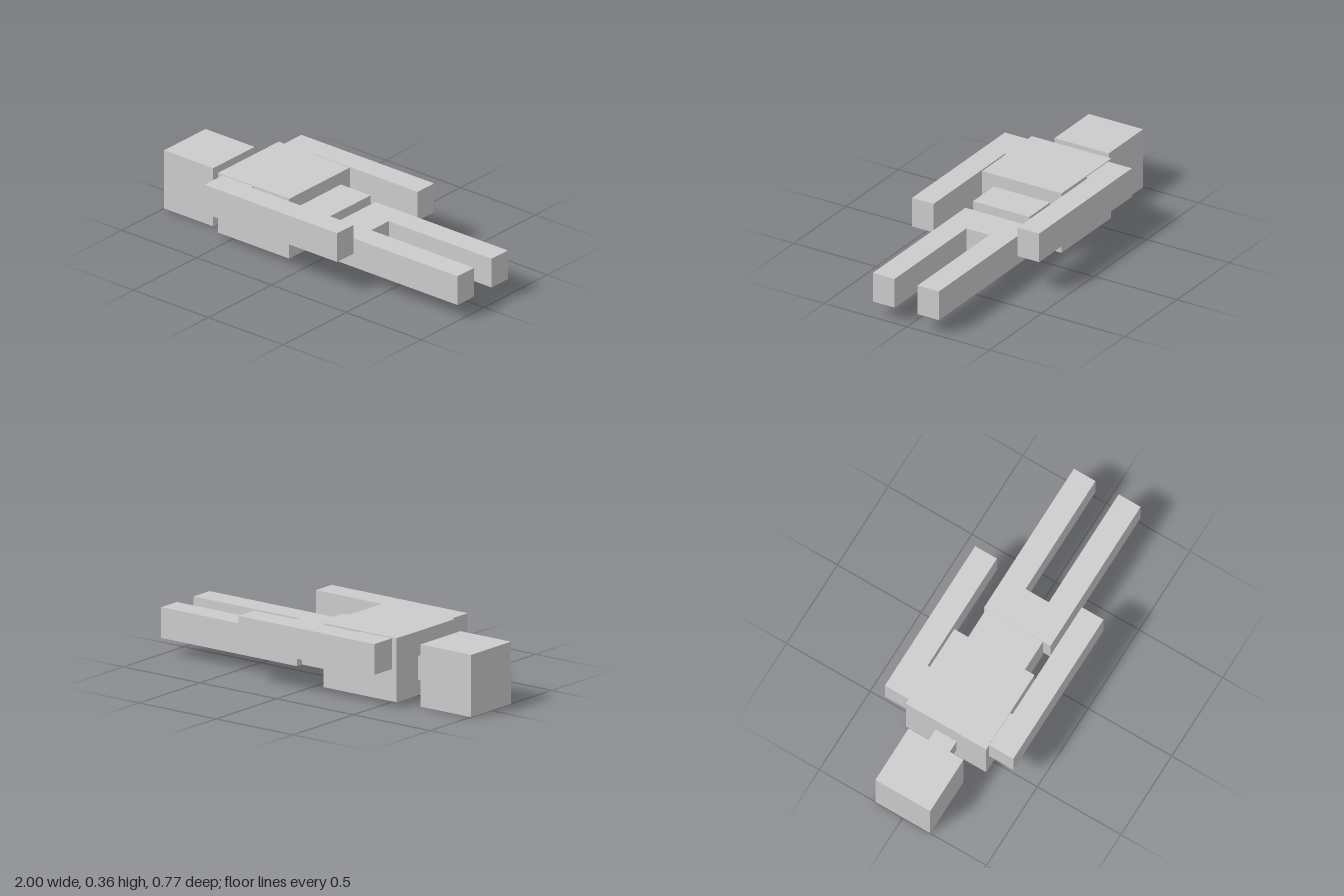
import * as THREE from 'three';

const material = new THREE.MeshStandardMaterial({ color: 0xcccccc, flatShading: true });

// Box given by its [min, max] range on each axis
function block(name, [x0, x1], [y0, y1], [z0, z1]) {
  const mesh = new THREE.Mesh(new THREE.BoxGeometry(x1 - x0, y1 - y0, z1 - z0), material);
  mesh.position.set((x0 + x1) / 2, (y0 + y1) / 2, (z0 + z1) / 2);
  mesh.name = name;
  return mesh;
}

// Flat plan outline in x and z, extruded from the top downwards
function slab(name, outline, top, thickness) {
  const shape = new THREE.Shape(outline.map(([x, z]) => new THREE.Vector2(x, z)));
  const geometry = new THREE.ExtrudeGeometry(shape, { depth: thickness, bevelEnabled: false });
  geometry.rotateX(Math.PI / 2);
  const mesh = new THREE.Mesh(geometry, material);
  mesh.position.y = top;
  mesh.name = name;
  return mesh;
}

export function createModel() {
  const figure = new THREE.Group();
  figure.name = 'lyingBlockFigure';

  // Head, neck and trunk along x
  figure.add(
    block('head', [-1, -0.672], [0, 0.33], [-0.164, 0.164]),
    block('neck', [-0.672, -0.575], [0.105, 0.23], [-0.063, 0.063]),
    block('chest', [-0.575, -0.1], [0.023, 0.362], [-0.24, 0.24]),
    block('abdomen', [-0.1, 0.098], [0.095, 0.292], [-0.17, 0.17]),
    block('waistJoint', [0.098, 0.112], [0.12, 0.23], [-0.1, 0.1])
  );

  // Arms, each with a short shoulder step reaching the chest
  for (const side of [1, -1]) {
    const outline = [
      [-0.545, 0.24], [-0.34, 0.24], [-0.34, 0.254], [0.342, 0.254], [0.342, 0.384], [-0.545, 0.384],
    ].map(([x, z]) => [x, z * side]);
    figure.add(slab(side > 0 ? 'frontArm' : 'backArm', outline, 0.357, 0.163));
  }

  // Hips and both legs as one forked piece
  figure.add(slab('hipsAndLegs', [
    [0.112, -0.192], [0.997, -0.192], [0.997, -0.063], [0.31, -0.063],
    [0.31, 0.076], [0.997, 0.076], [0.997, 0.207], [0.112, 0.207],
  ], 0.251, 0.163));

  return figure;
}
